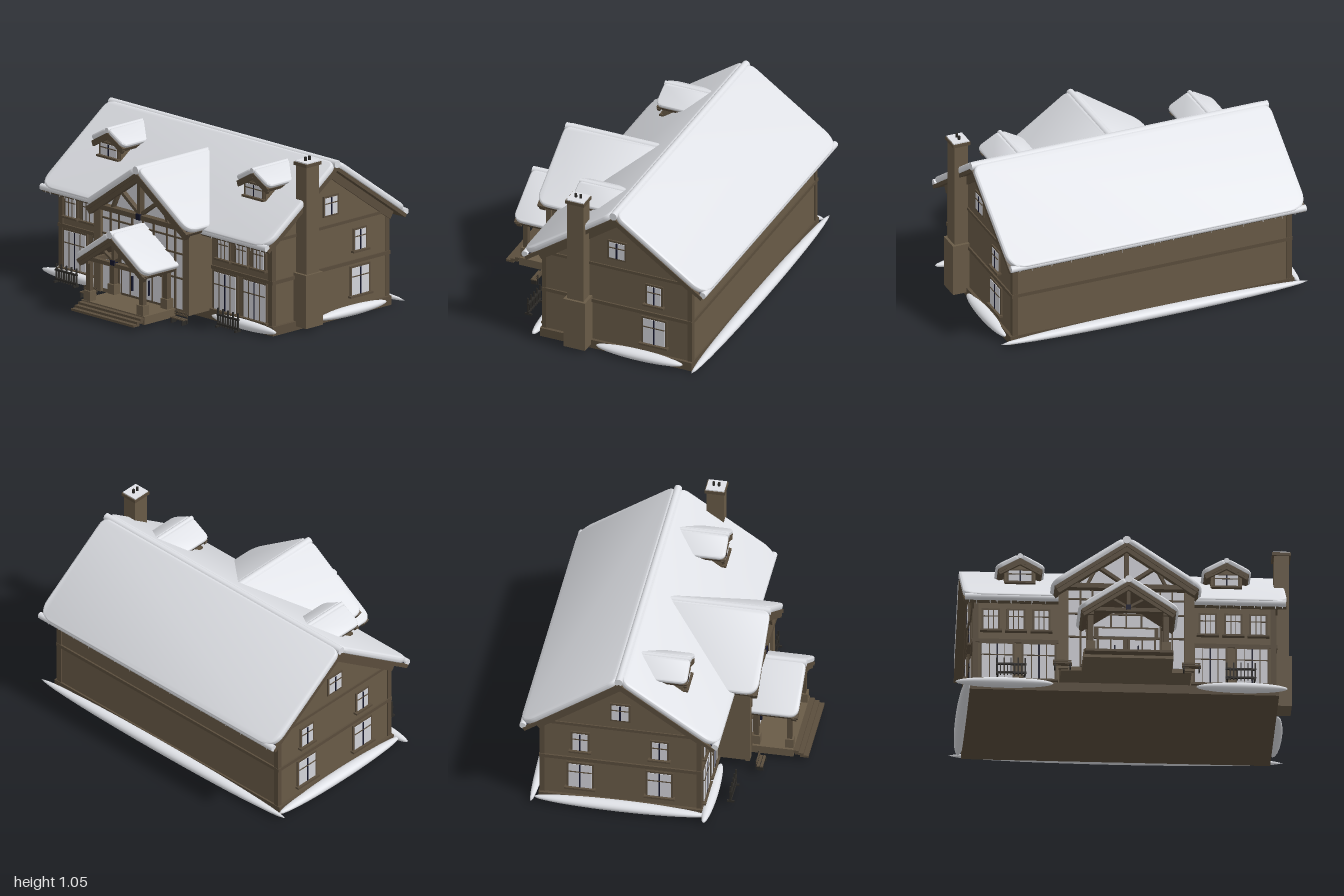
import * as THREE from 'three';
import { toCreasedNormals } from 'three/addons/utils/BufferGeometryUtils.js';

const mat = (name, color) => { const m = new THREE.MeshStandardMaterial({ color }); m.name = name; return m; };

export function createModel() {
  const wall = mat('brown wall', 0x695b47), trim = mat('dark trim', 0x5a4d3c), snow = mat('snow', 0xdfe1e6);
  const glass = mat('pale glass', 0xd3d4da), navy = mat('dark navy', 0x14162c), iron = mat('dark iron', 0x2c2a27);
  const house = new THREE.Group();
  house.name = 'snowyLodge';

  const add = (p, name, geo, m, x = 0, y = 0, z = 0) => {
    const mesh = new THREE.Mesh(geo, m);
    mesh.name = name; mesh.position.set(x, y, z); p.add(mesh);
    return mesh;
  };
  const box = (p, name, m, w, h, d, x, y, z) => add(p, name, new THREE.BoxGeometry(w, h, d), m, x, y, z);
  const group = (p, name, x = 0, y = 0, z = 0, ry = 0) => {
    const g = new THREE.Group();
    g.name = name; g.position.set(x, y, z); g.rotation.y = ry; p.add(g);
    return g;
  };
  // Straight timber between two points of an upright plane
  const beam = (p, name, m, x1, y1, x2, y2, z, t, d) => {
    const b = box(p, name, m, Math.hypot(x2 - x1, y2 - y1), t, d, (x1 + x2) / 2, (y1 + y2) / 2, z);
    b.rotation.z = Math.atan2(y2 - y1, x2 - x1);
  };
  const poly = pts => new THREE.Shape(pts.map(p => new THREE.Vector2(p[0], p[1])));
  // Prism with a gabled top, running along z
  const gabled = (p, name, hw, y0, yEave, yTop, z0, z1, m = wall) => add(p, name,
    new THREE.ExtrudeGeometry(poly([[-hw, y0], [hw, y0], [hw, yEave], [0, yTop], [-hw, yEave]]),
      { depth: z1 - z0, bevelEnabled: false }), m, 0, 0, z0);
  // Polygon with rounded corners; points are [x, y, radius]
  const rounded = pts => {
    const s = new THREE.Shape(), V = p => new THREE.Vector2(p[0], p[1]);
    pts.forEach((p, i) => {
      const c = V(p), a = V(pts.at(i - 1)).sub(c).setLength(p[2]).add(c);
      const b = V(pts[(i + 1) % pts.length]).sub(c).setLength(p[2]).add(c);
      if (i) s.lineTo(a.x, a.y); else s.moveTo(a.x, a.y);
      s.quadraticCurveTo(c.x, c.y, b.x, b.y);
    });
    s.closePath();
    return s;
  };
  const roll = (p, name, r, z0, z1, x, y) => {
    const c = add(p, name, new THREE.CylinderGeometry(r, r, z1 - z0, 14), snow, x, y, (z0 + z1) / 2);
    c.rotation.x = Math.PI / 2;
  };

  // Two roof slopes along z: boards, dark underlay, rounded snow and ridge roll
  const roof = (p, o) => {
    const { top, hw, rise, front, backRidge, backEave, r, thick, back = 0.002 } = o;
    const L = Math.hypot(hw, rise), c = hw / L, sn = rise / L;
    for (const s of [1, -1]) {
      const slope = group(p, 'roofSlope');
      slope.applyMatrix4(new THREE.Matrix4().makeBasis(new THREE.Vector3(s * c, -sn, 0),
        new THREE.Vector3(0, 0, -s), new THREE.Vector3(s * sn, c, 0)).setPosition(0, top, 0));
      const pts = e => [[e, -s * (front - e)], [L - e, -s * (front - e)], [L - e, -s * (backEave + e)], [e, -s * (backRidge + e)]];
      add(slope, 'roofBoards', new THREE.ExtrudeGeometry(poly(pts(0)), { depth: 0.022, bevelEnabled: false }), trim, 0, 0, -0.022);
      add(slope, 'roofUnderlay', new THREE.ExtrudeGeometry(poly(pts(0.02)), { depth: 0.004, bevelEnabled: false }), navy);
      const outline = pts(0.009).map((q, i) => [...q, i === 0 ? r * 0.5 : i === 1 ? r : i === 2 ? Math.max(back, 0.002) : Math.max(back * 0.5, 0.002)]);
      const g = new THREE.ExtrudeGeometry(rounded(outline), { depth: thick - 0.02, curveSegments: 8,
        bevelThickness: 0.012, bevelSize: 0.012, bevelSegments: 4 });
      add(slope, 'roofSnow', toCreasedNormals(g, 0.9), snow, 0, 0, 0.012);
    }
    roll(p, 'ridgeSnow', o.roll, backRidge, front + 0.003, 0, top + 0.014);
  };

  // Window facing +z: surround, pane, glazing bars and sill
  const win = (p, x, y, z, ry, w, h, cols, sill = true) => {
    const g = group(p, 'window', x, y, z, ry);
    box(g, 'windowSurround', trim, w + 0.024, h + 0.024, 0.012, 0, 0, 0);
    box(g, 'windowPane', glass, w, h, 0.004, 0, 0, 0.007);
    for (let i = 1; i < cols; i++) {
      const mid = i * 2 === cols;
      box(g, 'windowBar', mid ? navy : trim, mid ? 0.009 : 0.005, h, 0.008, -w / 2 + w * i / cols, 0, 0.008);
    }
    box(g, 'windowTransom', trim, w, 0.006, 0.009, 0, h * 0.18, 0.008);
    if (sill) box(g, 'windowSill', trim, w + 0.045, 0.012, 0.03, 0, -h / 2 - 0.008, 0.008);
  };

  // Main block, its ridge running along x
  box(house, 'foundation', trim, 1.82, 0.055, 0.98, 0, 0.0275, -0.203);
  const main = group(house, 'mainBlock', 0, 0, -0.205, Math.PI / 2);
  gabled(main, 'mainWalls', 0.477, 0.05, 0.585, 0.918, -0.89, 0.89);
  roof(main, { top: 0.95, hw: 0.575, rise: 0.405, front: 0.95, backRidge: -0.95, backEave: -0.95, r: 0.1, thick: 0.034, roll: 0.024, back: 0.1 });
  for (const s of [1, -1]) {
    roll(main, 'eaveSnow', 0.02, -0.945, 0.945, s * 0.575, 0.56);
    for (const e of [1, -1]) beam(main, 'bargeBoard', trim, 0, 0.895, s * 0.5, 0.543, e * 0.895, 0.05, 0.012);
  }
  box(house, 'floorBand', trim, 1.8, 0.022, 0.974, 0, 0.32, -0.205);
  box(house, 'eaveBand', trim, 1.795, 0.018, 0.968, 0, 0.575, -0.205);
  for (const sx of [1, -1]) for (const z of [0.265, -0.675])
    box(house, 'cornerBoard', trim, 0.035, 0.52, 0.03, sx * 0.878, 0.31, z);

  // Front windows
  for (const s of [1, -1]) {
    for (const x of [0.752, 0.505]) win(house, s * x, 0.185, 0.278, 0, 0.18, 0.225, 4);
    for (const x of [0.788, 0.64, 0.49]) win(house, s * x, 0.452, 0.278, 0, 0.085, 0.125, 3);
    // End windows, the chimney replacing the front pair on one side
    const ry = s * Math.PI / 2, x = s * 0.893;
    win(house, x, 0.7, -0.205, ry, 0.1, 0.105, 2, false);
    for (const z of s > 0 ? [-0.445] : [-0.445, 0.03]) {
      win(house, x, 0.45, z, ry, 0.09, 0.12, 2);
      win(house, x, 0.2, z, ry, 0.14, 0.165, 2);
    }
  }

  // Chimney
  const chimney = group(house, 'chimney', 0.935, 0, 0.027);
  box(chimney, 'chimneyFoot', wall, 0.12, 0.325, 0.14, 0, 0.187, 0);
  box(chimney, 'chimneyStack', wall, 0.088, 0.98, 0.104, 0, 0.52, 0);
  box(chimney, 'chimneyCap', trim, 0.11, 0.02, 0.122, 0, 1.015, 0);
  box(chimney, 'chimneySnow', snow, 0.1, 0.008, 0.11, 0, 1.028, 0);
  for (const z of [-0.016, 0.016]) add(chimney, 'chimneyPot', new THREE.CylinderGeometry(0.008, 0.009, 0.04, 10), iron, 0, 1.035, z);

  // Central wing with glazed gable
  const wing = group(house, 'frontWing');
  gabled(wing, 'wingWalls', 0.385, 0.055, 0.58, 0.838, 0, 0.455);
  roof(wing, { top: 0.865, hw: 0.425, rise: 0.295, front: 0.525, backRidge: -0.1, backEave: 0.325, r: 0.07, thick: 0.034, roll: 0.024 });
  add(wing, 'gablePane', new THREE.ExtrudeGeometry(poly([[-0.34, 0.08], [0.34, 0.08], [0.34, 0.59], [0, 0.825], [-0.34, 0.59]]),
    { depth: 0.004, bevelEnabled: false }), glass, 0, 0, 0.456);
  for (const x of [-0.27, -0.2, -0.09, 0, 0.09, 0.2, 0.27]) box(wing, 'glazingBar', trim, 0.01, 0.5, 0.012, x, 0.33, 0.462);
  for (const y of [0.27, 0.42, 0.515]) box(wing, 'glazingRail', trim, 0.68, 0.01, 0.012, 0, y, 0.462);
  box(wing, 'tieBeam', trim, 0.78, 0.03, 0.045, 0, 0.588, 0.482);
  box(wing, 'kingPost', trim, 0.025, 0.25, 0.035, 0, 0.71, 0.482);
  box(wing, 'trussJoint', navy, 0.036, 0.036, 0.05, 0, 0.59, 0.484);
  for (const s of [1, -1]) {
    beam(wing, 'trussStrut', trim, 0, 0.6, s * 0.175, 0.725, 0.48, 0.02, 0.03);
    beam(wing, 'trussStrut', trim, s * 0.175, 0.72, s * 0.235, 0.595, 0.48, 0.016, 0.03);
    beam(wing, 'rafter', trim, 0, 0.832, s * 0.41, 0.547, 0.5, 0.042, 0.036);
    box(wing, 'wingPier', wall, 0.055, 0.51, 0.03, s * 0.372, 0.315, 0.462);
  }

  // Entrance porch
  const porch = group(house, 'porch');
  box(porch, 'porchDeck', wall, 0.53, 0.05, 0.255, 0, 0.05, 0.585);
  for (let i = 0; i < 3; i++) box(porch, 'step', trim, 0.52, 0.014, 0.05, 0, 0.06 - i * 0.014, 0.718 + i * 0.029);
  roof(porch, { top: 0.512, hw: 0.28, rise: 0.19, front: 0.74, backRidge: 0.456, backEave: 0.456, r: 0.05, thick: 0.03, roll: 0.022 });
  for (const s of [1, -1]) {
    for (const z of [0.685, 0.485]) {
      box(porch, 'porchPostBase', wall, 0.055, 0.06, 0.05, s * 0.222, 0.105, z);
      box(porch, 'porchPost', trim, 0.034, 0.19, 0.03, s * 0.222, 0.225, z);
    }
    box(porch, 'porchSideBeam', trim, 0.034, 0.028, 0.26, s * 0.222, 0.318, 0.585);
    beam(porch, 'porchRafter', trim, 0, 0.48, s * 0.27, 0.3, 0.715, 0.034, 0.03);
    beam(porch, 'porchStrut', trim, 0, 0.355, s * 0.1, 0.415, 0.7, 0.014, 0.022);
    // Double doors
    box(porch, 'door', trim, 0.17, 0.19, 0.012, s * 0.09, 0.17, 0.468);
    box(porch, 'doorPane', glass, 0.142, 0.16, 0.004, s * 0.092, 0.17, 0.476);
    box(porch, 'doorBar', trim, 0.008, 0.16, 0.008, s * 0.092, 0.17, 0.477);
    box(porch, 'doorHandle', navy, 0.008, 0.09, 0.016, s * 0.07, 0.165, 0.482);
  }
  box(porch, 'porchTieBeam', trim, 0.46, 0.024, 0.032, 0, 0.338, 0.7);
  box(porch, 'porchKingPost', trim, 0.02, 0.14, 0.026, 0, 0.415, 0.7);
  box(porch, 'porchJoint', navy, 0.03, 0.03, 0.036, 0, 0.352, 0.702);
  box(porch, 'doorHead', trim, 0.38, 0.075, 0.01, 0, 0.298, 0.468);
  box(porch, 'transomPane', glass, 0.33, 0.05, 0.004, 0, 0.298, 0.476);

  // Dormers
  for (const s of [1, -1]) {
    const d = group(house, 'dormer', s * 0.608);
    gabled(d, 'dormerWalls', 0.092, 0.71, 0.845, 0.893, -0.12, 0.138);
    roof(d, { top: 0.915, hw: 0.132, rise: 0.075, front: 0.162, backRidge: -0.17, backEave: -0.065, r: 0.03, thick: 0.026, roll: 0.016 });
    win(d, 0, 0.803, 0.14, 0, 0.135, 0.07, 2);
    for (const e of [1, -1]) beam(d, 'dormerRafter', trim, 0, 0.887, e * 0.125, 0.817, 0.152, 0.022, 0.018);
  }

  // Icicles under the long eaves, with gently varied lengths
  for (const z of [0.365, -0.775]) for (let i = 0; i < 46; i++) {
    const x = -0.92 + i * 0.041, h = 0.02 + 0.014 * Math.sin(i * 2.3);
    if (z > 0 && Math.abs(x) < 0.44) continue;
    add(house, 'icicle', new THREE.ConeGeometry(0.004, h, 5), snow, x, 0.545 - h / 2, z).rotation.x = Math.PI;
  }

  // Snow drifts against the foundation
  const drift = (x, z, rx, rz) => add(house, 'snowDrift', new THREE.SphereGeometry(1, 28, 12), snow, x, 0.035, z).scale.set(rx, 0.03, rz);
  drift(-0.71, 0.31, 0.29, 0.036);
  drift(0.69, 0.31, 0.27, 0.036);
  drift(0, -0.725, 0.985, 0.04);
  drift(-0.93, -0.2, 0.042, 0.52);
  drift(0.92, -0.36, 0.042, 0.28);

  // Picket stands and benches in front
  for (const s of [1, -1]) {
    const f = group(house, 'picketRail', s * 0.677, 0, 0.43);
    for (const y of [0.045, 0.1]) box(f, 'rail', iron, 0.18, 0.01, 0.014, 0, y, 0);
    for (let i = 0; i < 9; i++) box(f, 'picket', iron, 0.007, i % 2 ? 0.075 : 0.11, 0.01, -0.084 + i * 0.021, i % 2 ? 0.067 : 0.085, 0);
    for (const x of [-0.08, 0.08]) box(f, 'railFoot', iron, 0.01, 0.012, 0.045, x, 0.03, 0);
    const b = group(house, 'bench', s * 0.38, 0, 0.545);
    for (const z of [-0.012, 0.008]) box(b, 'benchSeat', trim, 0.11, 0.007, 0.016, 0, 0.055, z);
    for (const y of [0.072, 0.086]) box(b, 'benchBack', trim, 0.11, 0.009, 0.006, 0, y, -0.022);
    for (const x of [-0.045, 0.045]) {
      box(b, 'benchLeg', iron, 0.007, 0.03, 0.036, x, 0.038, 0);
      box(b, 'benchBackPost', iron, 0.007, 0.066, 0.006, x, 0.058, -0.026);
    }
  }
  return house;
}
